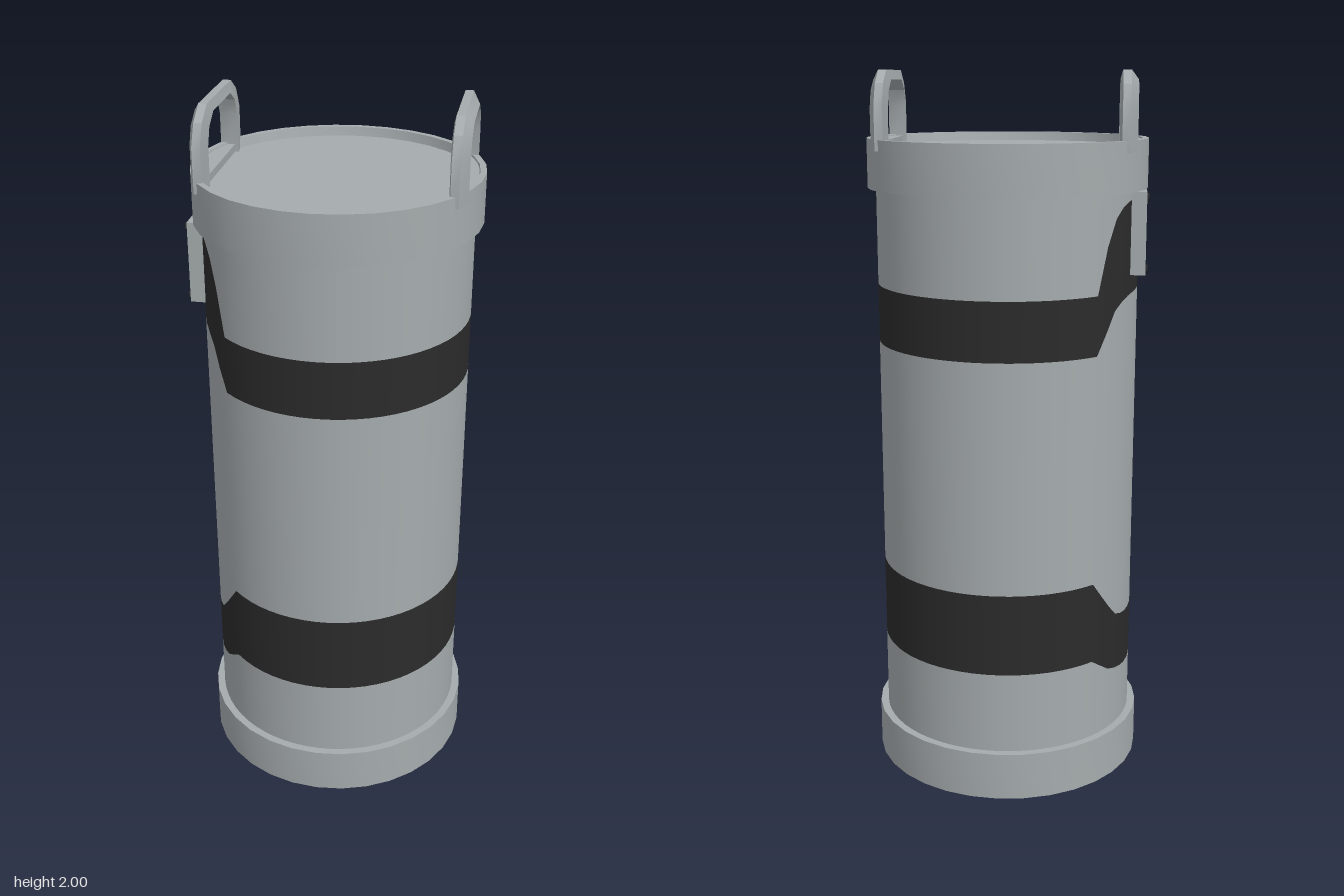
import * as THREE from 'three';
import { toCreasedNormals } from 'three/addons/utils/BufferGeometryUtils.js';

const mat = (name, color) => {
  const m = new THREE.MeshStandardMaterial({ color });
  m.name = name;
  return m;
};

export function createModel() {
  const steel = mat('steel grey', 0xa5abad);
  const black = mat('band black', 0x2b2b2b);
  const yellow = mat('sign yellow', 0xc9c012);

  const model = new THREE.Group();
  model.name = 'canister';
  const add = (name, geometry, material, parent = model) => {
    const mesh = new THREE.Mesh(geometry, material);
    mesh.name = name;
    parent.add(mesh);
    return mesh;
  };

  // Linear interpolation over [degrees from -x, height] pairs
  const curve = (pts) => (deg) => {
    for (let i = 1; i < pts.length; i++) {
      const [a0, y0] = pts[i - 1], [a1, y1] = pts[i];
      if (deg <= a1) return y0 + (y1 - y0) * (deg - a0) / (a1 - a0);
    }
    return pts[pts.length - 1][1];
  };

  // Body wall: stacked strips whose borders swerve on the -x side
  const R = 0.367, COLS = 64;
  const wallStrip = (low, high) => {
    const pos = [], nor = [], idx = [];
    for (let i = 0; i <= COLS; i++) {
      const a = (i / COLS) * Math.PI * 2;
      const deg = Math.min(i, COLS - i) * 360 / COLS;
      for (const y of [low(deg), high(deg)]) {
        pos.push(-R * Math.cos(a), y, R * Math.sin(a));
        nor.push(-Math.cos(a), 0, Math.sin(a));
      }
      if (i < COLS) {
        const k = i * 2;
        idx.push(k, k + 2, k + 3, k, k + 3, k + 1);
      }
    }
    const g = new THREE.BufferGeometry();
    g.setAttribute('position', new THREE.Float32BufferAttribute(pos, 3));
    g.setAttribute('normal', new THREE.Float32BufferAttribute(nor, 3));
    g.setIndex(idx);
    return g;
  };
  const borders = [
    curve([[0, 0.1]]),
    curve([[0, 0.3], [18, 0.303], [26, 0.31], [34, 0.325], [45, 0.37]]),
    curve([[0, 0.465], [20, 0.468], [29, 0.485], [37, 0.54], [45, 0.605]]),
    curve([[0, 1.413], [15, 1.41], [26, 1.4], [34, 1.37], [45, 1.257]]),
    curve([[0, 1.67], [19, 1.665], [29, 1.645], [37, 1.6], [45, 1.42]]),
    curve([[0, 1.72]]),
  ];
  const stripNames = ['lowerWall', 'lowerBand', 'middleWall', 'upperBand', 'upperWall'];
  stripNames.forEach((name, i) =>
    add(name, wallStrip(borders[i], borders[i + 1]), i % 2 ? black : steel));

  // End rings: flat base, and a cap with a shallow recess
  const lathe = (pts) => toCreasedNormals(
    new THREE.LatheGeometry(pts.map(([x, y]) => new THREE.Vector2(x, y)), 32), 0.5);
  add('baseRing', lathe([[0, 0], [0.39, 0], [0.39, 0.137], [0.36, 0.137]]), steel);
  add('topCap', lathe([[0.36, 1.685], [0.39, 1.685], [0.39, 1.82], [0.373, 1.82],
    [0.368, 1.795], [0, 1.795]]), steel);

  // Handle: bevelled bar following an arch, swept as four-cornered sections
  const half = [ // outer z, outer y, inner z, inner y
    [0.21, 1.79, 0.155, 1.79], [0.21, 1.91, 0.155, 1.9],
    [0.18, 1.965, 0.135, 1.945], [0.125, 2.0, 0.09, 1.974],
  ];
  const arch = [...half, ...half.map(([a, b, c, d]) => [-a, b, -c, d]).reverse()];
  const handleGeometry = () => {
    const pos = [], idx = [];
    arch.forEach(([oz, oy, iz, iy], i) => {
      pos.push(0.315, oy, oz, 0.337, oy, oz, 0.357, iy, iz, 0.308, iy, iz);
      if (i === arch.length - 1) return;
      for (let k = 0; k < 4; k++) {
        const a = i * 4 + k, b = i * 4 + (k + 1) % 4;
        idx.push(a, b, b + 4, a, b + 4, a + 4);
      }
    });
    const g = new THREE.BufferGeometry();
    g.setAttribute('position', new THREE.Float32BufferAttribute(pos, 3));
    g.setIndex(idx);
    return toCreasedNormals(g, 0.5);
  };

  // Raised segment of the cap that carries each handle
  const segment = new THREE.Shape();
  const reach = Math.acos(0.318 / 0.37);
  segment.absarc(0, 0, 0.37, -reach, reach, false);
  segment.closePath();
  const mountGeometry = new THREE.ExtrudeGeometry(segment,
    { depth: 0.022, bevelEnabled: false, curveSegments: 6 });
  mountGeometry.rotateX(-Math.PI / 2).translate(0, 1.794, 0);

  for (const [name, turn] of [['leftHandle', 0], ['rightHandle', Math.PI]]) {
    const side = new THREE.Group();
    side.name = name;
    side.rotation.y = turn;
    add('handleBar', handleGeometry(), steel, side);
    add('handleMount', mountGeometry, steel, side);
    model.add(side);
  }

  // Sign panel on the -x side, built facing +z and then turned outward
  const panel = new THREE.Group();
  panel.name = 'signPanel';
  panel.position.set(0, 1.57, 0);
  panel.rotation.y = -Math.PI / 2;
  model.add(panel);

  add('backPlate', new THREE.BoxGeometry(0.25, 0.225, 0.045), steel, panel)
    .position.z = 0.3575;
  const rect = (path, w, h) => path.moveTo(-w, -h).lineTo(w, -h).lineTo(w, h)
    .lineTo(-w, h).closePath();
  const frame = rect(new THREE.Shape(), 0.125, 0.1125);
  frame.holes.push(rect(new THREE.Path(), 0.082, 0.082));
  add('panelFrame', new THREE.ExtrudeGeometry(frame,
    { depth: 0.007, bevelEnabled: false }), steel, panel).position.z = 0.379;
  add('signPlate', new THREE.BoxGeometry(0.142, 0.142, 0.004), yellow, panel)
    .position.z = 0.382;

  // Three-bladed warning mark
  for (let i = 0; i < 3; i++) {
    const start = Math.PI / 2 + i * Math.PI * 2 / 3 - Math.PI / 6;
    add('warningBlade', new THREE.RingGeometry(0.014, 0.038, 5, 1, start, Math.PI / 3),
      black, panel).position.z = 0.3855;
  }

  // Corner bolts
  for (const x of [-0.11, 0.11]) for (const y of [-0.097, 0.097]) {
    const bolt = add('cornerBolt', new THREE.CylinderGeometry(0.012, 0.012, 0.01, 8),
      black, panel);
    bolt.rotation.x = Math.PI / 2;
    bolt.position.set(x, y, 0.387);
  }
  return model;
}
